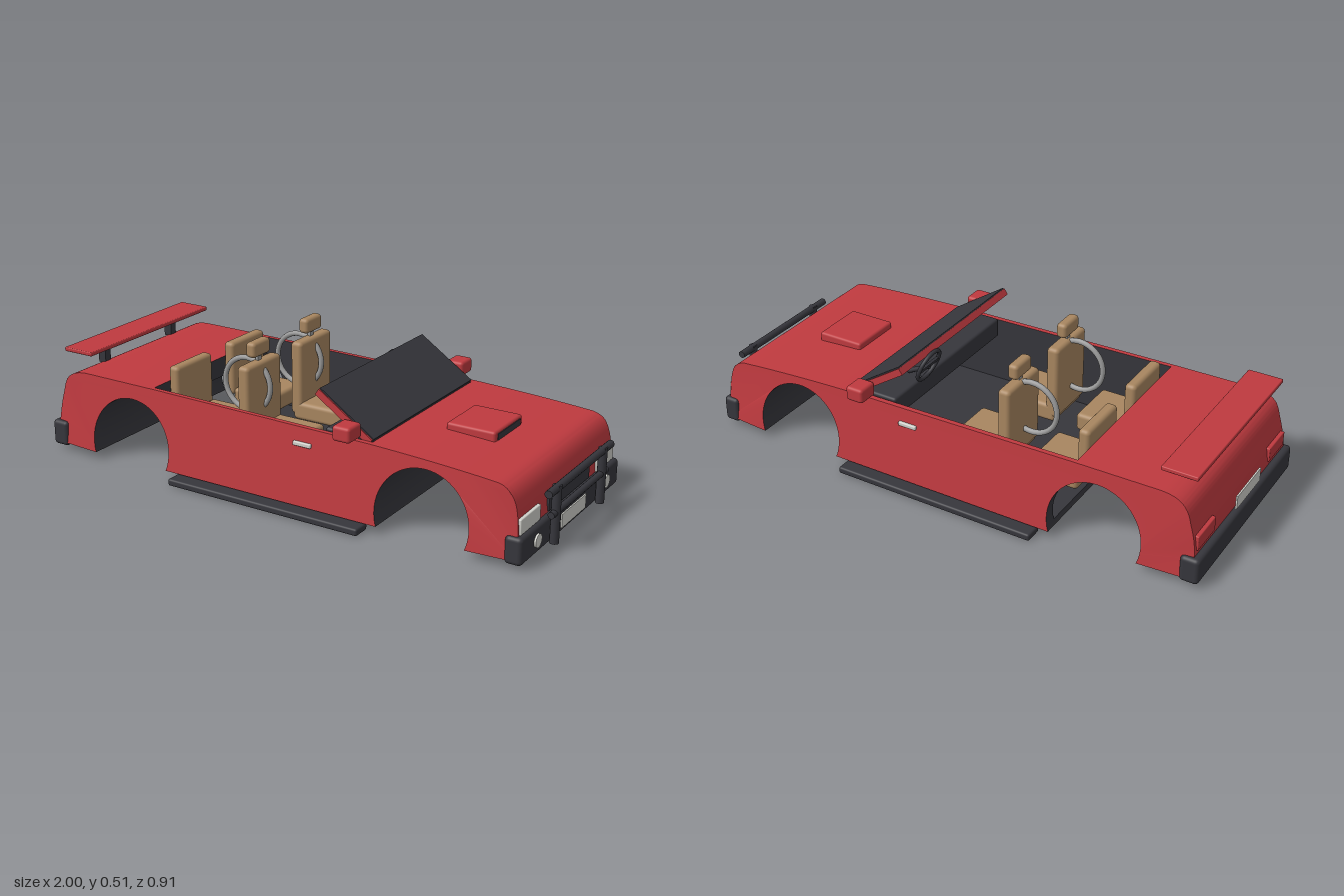
import * as THREE from 'three';
import { toCreasedNormals } from 'three/addons/utils/BufferGeometryUtils.js';
import { RoundedBoxGeometry } from 'three/addons/geometries/RoundedBoxGeometry.js';

const mat = (name, color) => {
  const m = new THREE.MeshStandardMaterial({ color });
  m.name = name;
  return m;
};

const REAR = -0.617, FRONT = 0.6, ARCH_Y = 0.09, ARCH_R = 0.176, BASE = 0.03, INNER = 0.355;
const low = Math.asin((ARCH_Y - BASE) / ARCH_R);

// half width of the body, tapering upward and at the two ends
const half = (x, y) => {
  const over = Math.max(0, Math.abs(x + 0.012) - 0.92) / 0.04;
  return Math.max(INNER + 0.002, 0.41 - 0.115 * y - 0.014 * Math.min(1, over));
};

const arch = (s, cx, from = Math.PI + low, to = -low) => s.absarc(cx, ARCH_Y, ARCH_R, from, to, true);
const nose = (s) => {
  s.lineTo(0.945, BASE);
  s.lineTo(0.943, 0.11);
  s.bezierCurveTo(0.935, 0.2, 0.93, 0.27, 0.86, 0.28);
  s.quadraticCurveTo(0.65, 0.298, 0.39, 0.306);
};
const tail = (s) => {
  s.lineTo(-0.84, 0.322);
  s.bezierCurveTo(-0.93, 0.318, -0.94, 0.28, -0.952, 0.23);
  s.quadraticCurveTo(-0.972, 0.17, -0.975, 0.11);
  s.lineTo(-0.97, BASE);
};

// side wall outline, then the middle section behind and in front of the cabin gap
function outlines() {
  const side = new THREE.Shape().moveTo(-0.97, BASE);
  arch(side, REAR); arch(side, FRONT); nose(side);
  side.lineTo(-0.53, 0.32); tail(side);
  const back = new THREE.Shape().moveTo(-0.97, BASE);
  arch(back, REAR, Math.PI + low, Math.acos((-0.53 - REAR) / ARCH_R));
  back.lineTo(-0.53, 0.32); tail(back);
  const fore = new THREE.Shape().moveTo(-0.446, 0.05);
  arch(fore, REAR, -0.229, -low);
  arch(fore, FRONT); nose(fore);
  fore.lineTo(0.39, 0.05);
  fore.lineTo(-0.446, 0.05);
  return { side, back, fore };
}

// extrude a side outline between two z rules and split outer skin from dark lining
function shell(shape, zA, zB) {
  const g = new THREE.ExtrudeGeometry(shape, { depth: 1, bevelEnabled: false, curveSegments: 24 }).toNonIndexed();
  const p = g.attributes.position;
  for (let i = 0; i < p.count; i++) {
    const x = p.getX(i), y = p.getY(i);
    p.setZ(i, p.getZ(i) < 0.5 ? zA(x, y) : zB(x, y));
  }
  const skin = [], lining = [], v = [0, 1, 2].map(() => new THREE.Vector3());
  for (let i = 0; i < p.count; i += 3) {
    v.forEach((q, k) => q.fromBufferAttribute(p, i + k));
    const all = (f) => v.every(f);
    const dark = all((q) => q.y < BASE + 0.001)
      || [REAR, FRONT].some((c) => all((q) => Math.hypot(q.x - c, q.y - ARCH_Y) < ARCH_R + 0.001))
      || all((q) => Math.abs(q.z - INNER) < 0.001) || all((q) => Math.abs(q.z + INNER) < 0.001)
      || all((q) => Math.abs(q.x + 0.53) < 0.001) || all((q) => Math.abs(q.x - 0.39) < 0.001)
      || all((q) => q.y < 0.051 && q.x > -0.5 && q.x < 0.4);
    v.forEach((q) => (dark ? lining : skin).push(q.x, q.y, q.z));
  }
  return [skin, lining].map((a) => {
    const b = new THREE.BufferGeometry();
    b.setAttribute('position', new THREE.Float32BufferAttribute(a, 3));
    b.computeVertexNormals();
    return toCreasedNormals(b, 0.5);
  });
}

export function createModel() {
  const root = new THREE.Group();
  root.name = 'convertible';
  const red = mat('red paint', 0xbf3a3f), black = mat('black trim', 0x36363c);
  const tan = mat('tan leather', 0xa88660), pale = mat('pale lamp', 0xd2d2cc);
  const silver = mat('silver metal', 0x9c9c9c);

  const add = (name, geo, m, x = 0, y = 0, z = 0, parent = root) => {
    const mesh = new THREE.Mesh(geo, m);
    mesh.name = name;
    mesh.position.set(x, y, z);
    parent.add(mesh);
    return mesh;
  };
  // box given by its minimum and maximum corners, rounded when r > 0
  const box = (name, m, [x0, x1], [y0, y1], [z0, z1], r = 0, parent = root) => {
    const s = [x1 - x0, y1 - y0, z1 - z0];
    const g = r ? new RoundedBoxGeometry(...s, 3, r) : new THREE.BoxGeometry(...s);
    return add(name, g, m, (x0 + x1) / 2, (y0 + y1) / 2, (z0 + z1) / 2, parent);
  };
  const span = (s, a, b) => (s > 0 ? [a, b] : [-b, -a]);

  // body
  const { side, back, fore } = outlines();
  const inner = () => INNER, innerNeg = () => -INNER;
  const pieces = [
    ['leftSide', side, inner, half], ['rightSide', side, (x, y) => -half(x, y), innerNeg],
    ['rearDeck', back, innerNeg, inner], ['bonnetAndFloor', fore, innerNeg, inner],
  ];
  for (const [name, s, a, b] of pieces) {
    const [skin, lining] = shell(s, a, b);
    add(name + 'Skin', skin, red);
    add(name + 'Lining', lining, black);
  }

  // bonnet scoop
  box('bonnetScoop', red, [0.53, 0.715], [0.27, 0.325], [-0.105, 0.105], 0.01);
  box('scoopIntake', black, [0.711, 0.718], [0.292, 0.315], [-0.085, 0.085]);

  // bumpers, grille and plates
  box('frontBumper', black, [0.9, 0.963], [0.017, 0.115], [-0.4, 0.4], 0.015);
  box('rearBumper', black, [-1, -0.93], [0.017, 0.115], [-0.4, 0.4], 0.015);
  box('grille', black, [0.92, 0.947], [0.12, 0.165], [-0.165, 0.165]);
  box('frontPlate', pale, [0.962, 0.968], [0.037, 0.088], [-0.099, 0.099]);
  box('rearPlate', pale, [-0.998, -0.992], [0.138, 0.19], [-0.1, 0.1]);

  // bull bar
  const bar = (name, len, r, y, z, upright) => {
    const b = add(name, new THREE.CylinderGeometry(r, r, len, 14), black, 0.982, y, z);
    if (!upright) b.rotation.x = Math.PI / 2;
  };
  bar('bullBarTop', 0.514, 0.014, 0.221, 0);
  bar('bullBarLower', 0.454, 0.012, 0.136, 0);

  for (const s of [1, -1]) {
    bar('bullBarUpright', 0.205, 0.016, 0.128, s * 0.189, true);
    box('headlight', pale, [0.9, 0.948], [0.115, 0.171], span(s, 0.23, 0.377), 0.004);
    box('tailLight', red, [-0.979, -0.93], [0.13, 0.185], span(s, 0.23, 0.365), 0.004);
    const fog = add('fogLamp', new THREE.CylinderGeometry(0.024, 0.024, 0.014, 20), pale, 0.963, 0.067, s * 0.283);
    fog.rotation.z = Math.PI / 2;
    box('runningBoard', black, [-0.405, 0.39], [0, 0.026], span(s, 0.385, 0.455), 0.008);
    box('doorHandle', pale, [0.093, 0.165], [0.243, 0.259], span(s, 0.375, 0.39), 0.004);
    box('wingMirror', red, [0.28, 0.35], [0.315, 0.37], span(s, 0.357, 0.438), 0.012);
    box('spoilerPost', black, [-0.913, -0.88], [0.31, 0.386], span(s, 0.185, 0.215));

    // seats
    const z = span(s, 0.064, 0.275);
    const seats = new THREE.Group();
    seats.name = s > 0 ? 'leftSeats' : 'rightSeats';
    root.add(seats);
    box('rearCushion', tan, [-0.487, -0.297], [0.13, 0.2], z, 0.016, seats);
    box('rearBackrest', tan, [-0.528, -0.483], [0.17, 0.38], z, 0.016, seats);
    box('frontCushion', tan, [-0.21, 0.018], [0.13, 0.2], z, 0.016, seats);
    box('frontBackrest', tan, [-0.22, -0.17], [0.15, 0.435], z, 0.016, seats);
    box('headrest', tan, [-0.219, -0.178], [0.453, 0.51], span(s, 0.118, 0.222), 0.014, seats);
    box('headrestStem', silver, [-0.204, -0.192], [0.42, 0.46], span(s, 0.16, 0.18), 0, seats);
    add('seatHoop', new THREE.TorusGeometry(0.099, 0.01, 10, 40), silver, -0.248, 0.334, s * 0.169, seats);
  }

  // rear spoiler
  box('spoilerWing', red, [-0.955, -0.825], [0.384, 0.4], [-0.355, 0.355], 0.004);

  // windscreen
  const screen = new THREE.Group();
  screen.name = 'windscreen';
  screen.position.set(0.275, 0.371, 0);
  screen.rotation.z = -0.588;
  root.add(screen);
  box('screenTopRail', red, [-0.126, -0.106], [-0.013, 0.013], [-0.355, 0.355], 0, screen);
  for (const s of [1, -1]) box('screenPillar', red, [-0.106, 0.126], [-0.013, 0.013], span(s, 0.335, 0.355), 0, screen);
  box('screenGlass', black, [-0.125, 0.128], [0.013, 0.018], [-0.35, 0.35], 0, screen);

  // dashboard and steering wheel
  box('dashboard', black, [0.2, 0.388], [0.24, 0.318], [-0.35, 0.35], 0.01);
  const wheel = new THREE.Group();
  wheel.name = 'steeringWheel';
  wheel.position.set(0.178, 0.375, -0.17);
  wheel.rotation.z = 0.36;
  root.add(wheel);
  const rim = add('wheelRim', new THREE.TorusGeometry(0.062, 0.008, 10, 32), black, 0, 0, 0, wheel);
  rim.rotation.y = Math.PI / 2;
  box('wheelSpoke', black, [-0.005, 0.005], [-0.008, 0.008], [-0.06, 0.06], 0, wheel);
  const column = add('steeringColumn', new THREE.CylinderGeometry(0.009, 0.009, 0.1, 10), black, 0.03, -0.04, 0, wheel);
  column.rotation.z = 0.75;

  return root;
}
